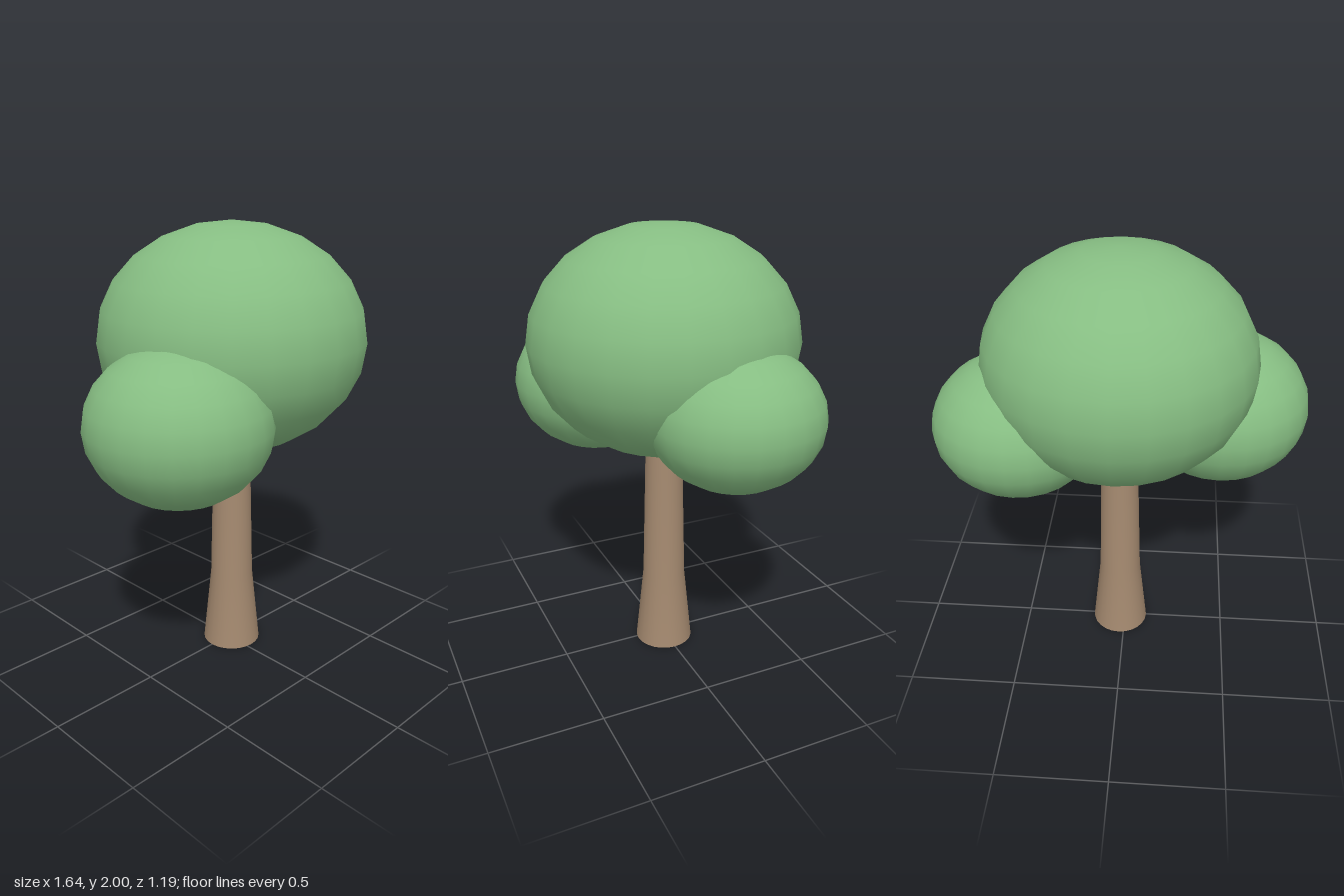
import * as THREE from 'three';

export function createModel() {
  const tree = new THREE.Group();
  tree.name = 'tree';

  const leafGreen = new THREE.MeshStandardMaterial({ color: 0x86bd82 });
  leafGreen.name = 'leafGreen';
  const barkBrown = new THREE.MeshStandardMaterial({ color: 0xa58a70, side: THREE.DoubleSide });
  barkBrown.name = 'barkBrown';

  // Flared trunk, open at the bottom, ending inside the crown
  const profile = [[0.135, 0], [0.099, 0.36], [0.083, 1.06]];
  const trunk = new THREE.Mesh(
    new THREE.LatheGeometry(profile.map(([r, y]) => new THREE.Vector2(r, y)), 24),
    barkBrown
  );
  trunk.name = 'trunk';
  trunk.position.x = 0.024;
  tree.add(trunk);

  // Flattened balls of foliage: name, centre, horizontal and vertical radius
  const ball = new THREE.SphereGeometry(1, 24, 12);
  const foliage = [
    ['mainCrown', [0.022, 1.5, 0], 0.595, 0.5],
    ['rightFoliage', [-0.428, 1.222, 0.15], 0.393, 0.336],
    ['leftFoliage', [0.445, 1.26, -0.13], 0.372, 0.305],
  ];
  for (const [name, centre, radius, height] of foliage) {
    const mesh = new THREE.Mesh(ball, leafGreen);
    mesh.name = name;
    mesh.position.set(...centre);
    mesh.scale.set(radius, height, radius);
    tree.add(mesh);
  }

  return tree;
}
